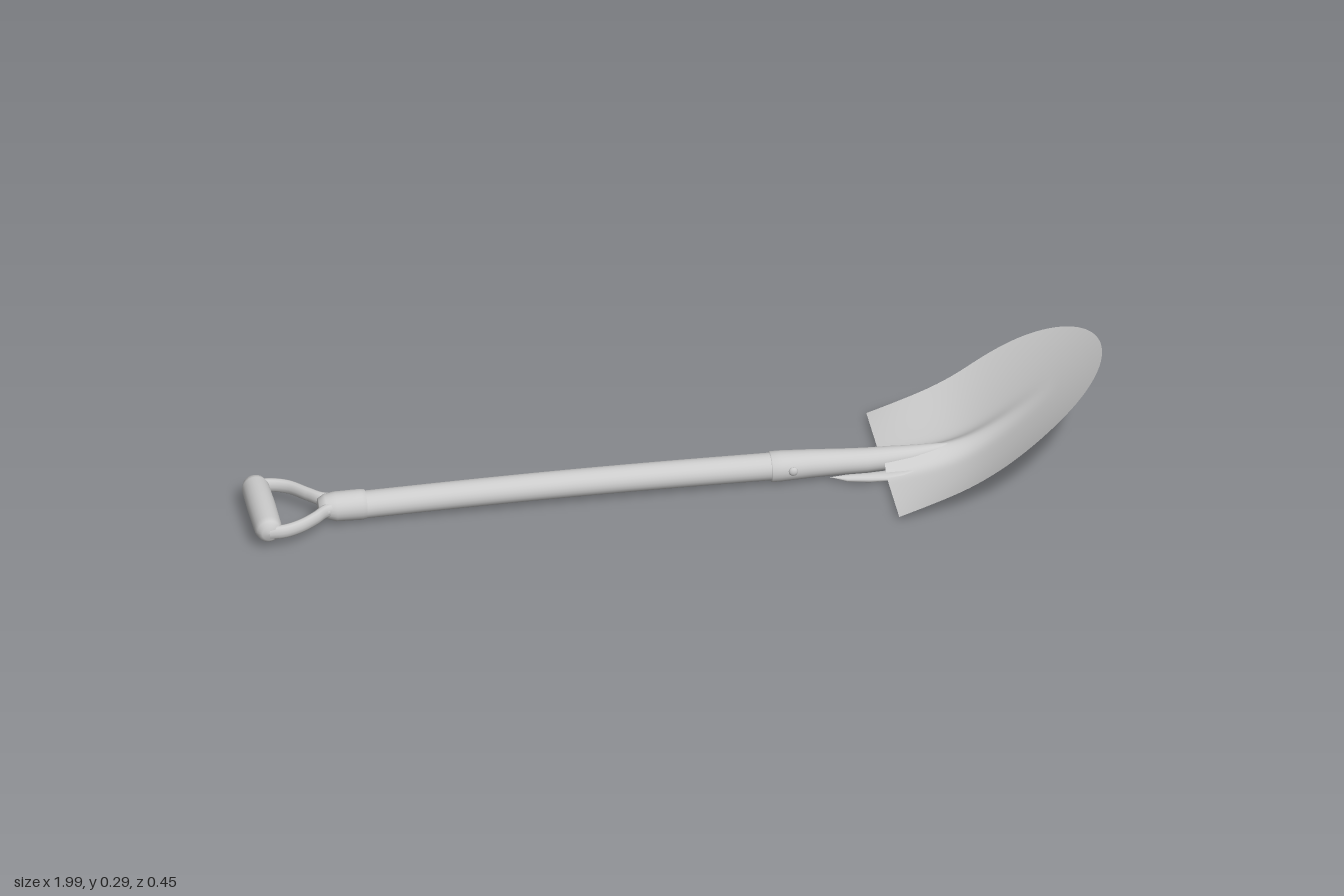
import * as THREE from 'three';

const material = new THREE.MeshStandardMaterial({ color: 0xcccccc, side: THREE.DoubleSide });

// Surface grid from a rule (u, v) -> [x, y, z]; `wrap` closes it across v
function surface(name, rows, cols, rule, wrap = false) {
  const pos = [], idx = [], n = wrap ? cols : cols + 1;
  for (let i = 0; i <= rows; i++)
    for (let j = 0; j < n; j++) pos.push(...rule(i / rows, j / cols, i));
  for (let i = 0; i < rows; i++)
    for (let j = 0; j < cols; j++) {
      const k = (j + 1) % n, a = i * n + j, b = i * n + k, c = a + n, d = b + n;
      idx.push(a, b, c, b, d, c);
    }
  const g = new THREE.BufferGeometry();
  g.setAttribute('position', new THREE.Float32BufferAttribute(pos, 3));
  g.setIndex(idx);
  g.computeVertexNormals();
  const mesh = new THREE.Mesh(g, material);
  mesh.name = name;
  return mesh;
}

// Loft along x through elliptical sections [x, centreY, radiusY, radiusZ]
function loft(name, sections, sides = 24) {
  return surface(name, sections.length - 1, sides, (u, v, i) => {
    const [x, y, ry, rz] = sections[i], a = v * Math.PI * 2;
    return [x, y + ry * Math.cos(a), rz * Math.sin(a)];
  }, true);
}

// Blade: dished sheet, curving up to a rounded tip, with a central ridge
function blade() {
  const start = 0.49, flat = 0.73;
  return surface('blade', 48, 64, (u, v) => {
    const x = start + (1 - start) * Math.sin(u * Math.PI / 2);
    const t = Math.max(0, (x - flat) / (1 - flat));
    const width = 0.224 * Math.sqrt(Math.max(0, 1 - t * t));
    const s = v * 2 - 1;
    const side = Math.sign(s) * Math.pow(Math.abs(s), 1.35);
    const z = side * width;
    const d = x - 0.68;
    const spine = 0.003 + 0.438 * (d + Math.sqrt(d * d + 0.01));
    const lift = 0.045 * Math.sin(Math.PI * (x - start) / (1 - start)) * side * side;
    const fade = Math.max(0, 1 - (x - start) / 0.4);
    const ridge = 0.046 * Math.pow(fade, 1.3) * Math.exp(-Math.pow(z / 0.032, 2));
    return [x, spine + lift + ridge, z];
  });
}

// D-shaped handle: cross grip, two curved arms and a bridge
function handle() {
  const group = new THREE.Group();
  group.name = 'handle';
  const profile = [[0, -0.112], [0.018, -0.11], [0.028, -0.1], [0.032, -0.085], [0.033, 0],
    [0.032, 0.085], [0.028, 0.1], [0.018, 0.11], [0, 0.112]];
  const grip = new THREE.Mesh(new THREE.LatheGeometry(profile.map(p => new THREE.Vector2(...p)), 24), material);
  grip.rotation.x = Math.PI / 2;
  grip.position.set(-0.96, 0.048, -0.01);
  grip.name = 'grip';
  group.add(grip);
  for (const s of [-1, 1]) {
    const off = -0.008;
    const path = new THREE.CatmullRomCurve3([[-0.96, 0.1], [-0.925, 0.1], [-0.885, 0.085], [-0.845, 0.052],
      [-0.815, 0.026], [-0.77, 0.018]].map(([x, z]) => new THREE.Vector3(x, 0, s * z + off * (x < -0.85 ? 1 : 0.3))));
    const arm = new THREE.Mesh(new THREE.TubeGeometry(path, 28, 0.0115, 12), material);
    arm.scale.y = 1.5;
    arm.position.y = 0.046;
    arm.name = s > 0 ? 'frontArm' : 'backArm';
    group.add(arm);
  }
  const bridge = new THREE.Mesh(new THREE.CapsuleGeometry(0.013, 0.045, 6, 12), material);
  bridge.rotation.x = Math.PI / 2;
  bridge.position.set(-0.815, 0.046, 0);
  bridge.name = 'bridge';
  group.add(bridge);
  return group;
}

export function createModel() {
  const model = new THREE.Group();
  model.name = 'shovel';
  model.add(handle());

  // Collar joining handle and shaft
  model.add(loft('collar', [
    [-0.83, 0.045, 0, 0], [-0.83, 0.045, 0.018, 0.02], [-0.815, 0.044, 0.028, 0.03],
    [-0.79, 0.041, 0.035, 0.034], [-0.73, 0.04, 0.036, 0.035], [-0.72, 0.04, 0.034, 0.034], [-0.72, 0.04, 0.03, 0.03],
  ]));

  // Slightly bowed shaft
  const shaft = [];
  for (let i = 0; i <= 16; i++) {
    const t = i / 16;
    shaft.push([-0.76 + 1.04 * t, 0.038 + 0.006 * Math.sin(Math.PI * t), 0.032, 0.0325]);
  }
  model.add(loft('shaft', shaft));

  // Socket tapering into the blade
  model.add(loft('socket', [
    [0.225, 0.038, 0.031, 0.031], [0.228, 0.038, 0.036, 0.036], [0.25, 0.038, 0.036, 0.036],
    [0.32, 0.037, 0.033, 0.033], [0.4, 0.034, 0.03, 0.03], [0.45, 0.032, 0.029, 0.029],
    [0.5, 0.033, 0.027, 0.027], [0.56, 0.036, 0.022, 0.022], [0.62, 0.046, 0.012, 0.013], [0.66, 0.058, 0, 0],
  ]));

  // Folded flanges under the neck, flaring out to the blade
  for (const s of [-1, 1]) {
    const flange = loft(s > 0 ? 'frontFlange' : 'backFlange', [
      [0.36, 0.02, 0, 0], [0.4, 0.014, 0.008, 0.01], [0.45, 0.011, 0.01, 0.014],
      [0.49, 0.012, 0.009, 0.018], [0.53, 0.016, 0.006, 0.015], [0.57, 0.024, 0, 0],
    ], 14);
    flange.position.z = s * 0.029;
    flange.rotation.y = -s * 0.03;
    model.add(flange);
  }

  // Rivets through the socket
  for (const s of [-1, 1]) {
    const rivet = new THREE.Mesh(new THREE.SphereGeometry(0.011, 14, 10), material);
    rivet.scale.z = 0.6;
    rivet.position.set(0.275, 0.042, s * 0.035);
    rivet.name = s > 0 ? 'frontRivet' : 'backRivet';
    model.add(rivet);
  }

  model.add(blade());
  return model;
}
